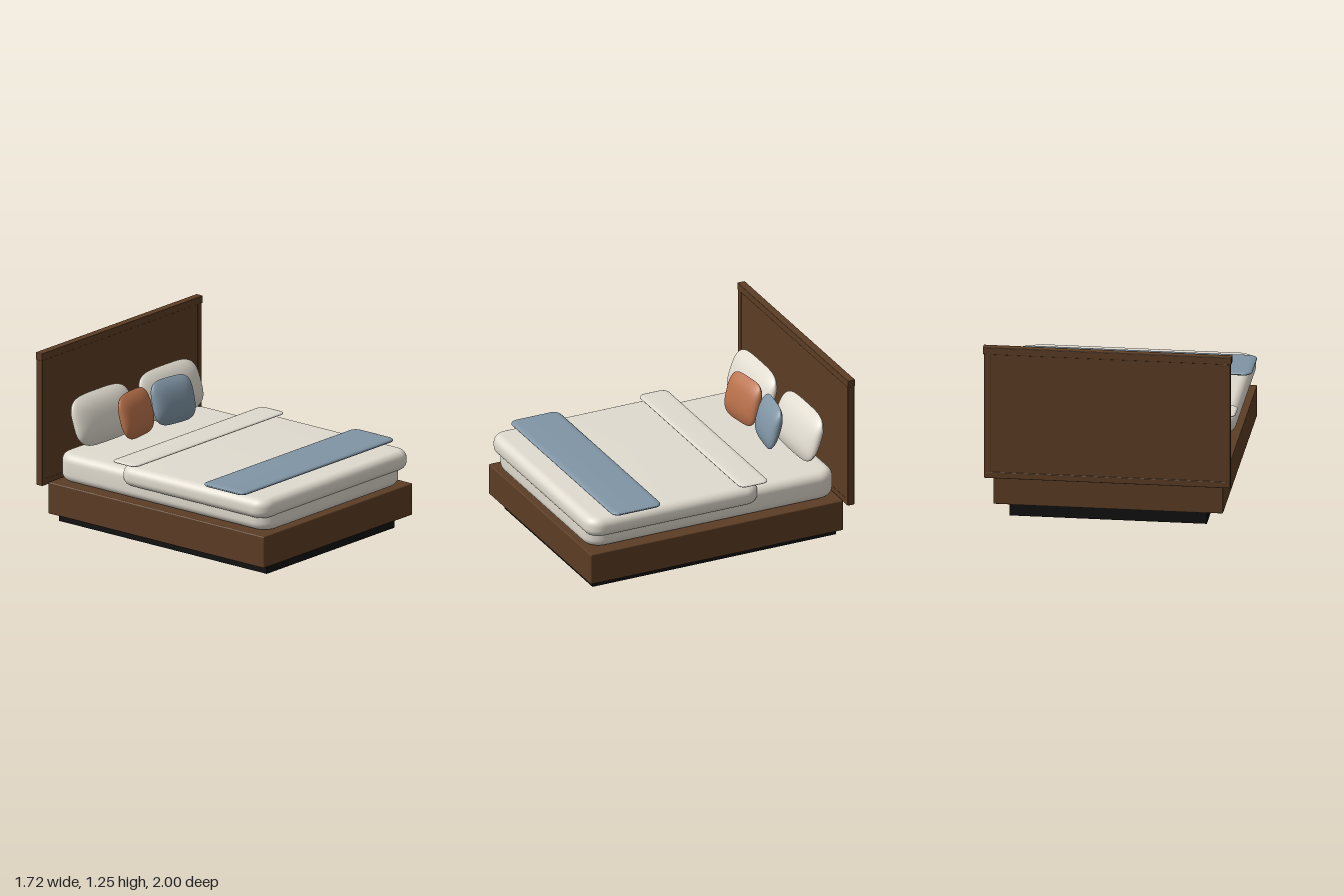
import * as THREE from 'three';
import { toCreasedNormals } from 'three/addons/utils/BufferGeometryUtils.js';
import { RoundedBoxGeometry } from 'three/addons/geometries/RoundedBoxGeometry.js';

const mat = (name, color) => {
  const m = new THREE.MeshStandardMaterial({ color });
  m.name = name;
  return m;
};

// Box given by its min and max corners, with slightly eased edges
function box(name, material, [x0, y0, z0], [x1, y1, z1], r = 0.004) {
  const mesh = new THREE.Mesh(new RoundedBoxGeometry(x1 - x0, y1 - y0, z1 - z0, 2, r), material);
  mesh.position.set((x0 + x1) / 2, (y0 + y1) / 2, (z0 + z1) / 2);
  mesh.name = name;
  return mesh;
}

// Horizontal padded slab: rounded plan corners, and edges rounded by bevelSize x bevelHeight
function slab(name, material, halfX, [y0, y1], [z0, z1], radius, bevelSize, bevelHeight) {
  const a = halfX, b = (z1 - z0) / 2, r = radius;
  const s = new THREE.Shape();
  s.moveTo(a, -b + r);
  s.absarc(a - r, b - r, r, 0, Math.PI / 2);
  s.absarc(-a + r, b - r, r, Math.PI / 2, Math.PI);
  s.absarc(-a + r, -b + r, r, Math.PI, Math.PI * 1.5);
  s.absarc(a - r, -b + r, r, Math.PI * 1.5, Math.PI * 2);
  const depth = y1 - y0 - 2 * bevelHeight;
  const geo = new THREE.ExtrudeGeometry(s, {
    depth, curveSegments: 10, bevelEnabled: true, bevelSegments: 8,
    bevelSize, bevelThickness: bevelHeight, bevelOffset: -bevelSize,
  });
  geo.translate(0, 0, -depth / 2);
  geo.rotateX(-Math.PI / 2);
  const mesh = new THREE.Mesh(toCreasedNormals(geo, 0.9), material);
  mesh.position.set(0, (y0 + y1) / 2, (z0 + z1) / 2);
  mesh.name = name;
  return mesh;
}

// Stuffed cushion: squircle outline, blunt at the sides, tapering to top and bottom seams
function cushion(name, material, w, h, t, [x, y, z], pitch, yaw) {
  const N = 28, pos = [], index = [];
  for (const side of [1, -1]) {
    const base = pos.length / 3;
    for (let j = 0; j <= N; j++) for (let i = 0; i <= N; i++) {
      const u = Math.sin((i / N - 0.5) * Math.PI), v = Math.sin((j / N - 0.5) * Math.PI);
      const norm = Math.pow(u ** 4 + v ** 4, 0.25);
      const f = norm > 1e-6 ? Math.max(Math.abs(u), Math.abs(v)) / norm : 1;
      const X = u * f, Y = v * f;
      const puff = Math.sqrt(Math.max(0, 1 - X ** 4 - Y ** 4) * Math.max(0, 1 - Y * Y));
      pos.push(X * w / 2, Y * h / 2, side * puff * t / 2);
      if (i < N && j < N) {
        const a = base + j * (N + 1) + i, b = a + 1, c = a + N + 1, d = c + 1;
        if (side > 0) index.push(a, b, d, a, d, c);
        else index.push(a, d, b, a, c, d);
      }
    }
  }
  const geo = new THREE.BufferGeometry();
  geo.setAttribute('position', new THREE.Float32BufferAttribute(pos, 3));
  geo.setIndex(index);
  geo.computeVertexNormals();
  const mesh = new THREE.Mesh(geo, material);
  mesh.rotation.set(pitch, yaw, 0, 'YXZ');
  mesh.position.set(x, y, z);
  mesh.name = name;
  return mesh;
}

export function createModel() {
  const wood = mat('walnut wood', 0x5c3d24);
  const black = mat('black plinth', 0x111111);
  const linen = mat('cream linen', 0xe0dbcf);
  const blue = mat('dusty blue fabric', 0x8095a5);
  const rust = mat('terracotta fabric', 0xb8704a);
  const bed = new THREE.Group();
  bed.name = 'bed';

  // Platform on a recessed plinth
  bed.add(box('plinth', black, [-0.685, 0, -0.94], [0.685, 0.085, 0.93], 0.002));
  bed.add(box('platform', wood, [-0.797, 0.08, -0.942], [0.797, 0.308, 0.997], 0.008));

  // Framed headboard
  const headboard = new THREE.Group();
  headboard.name = 'headboard';
  headboard.add(box('headboardPanel', wood, [-0.83, 0.31, -0.996], [0.83, 1.21, -0.949]));
  headboard.add(box('headboardCap', wood, [-0.862, 1.198, -1], [0.862, 1.25, -0.943]));
  headboard.add(box('headboardBottomRail', wood, [-0.85, 0.29, -0.999], [0.85, 0.336, -0.947]));
  for (const s of [-1, 1]) {
    const x = s * 0.832;
    headboard.add(box('headboardStile', wood, [x - 0.023, 0.29, -0.998], [x + 0.023, 1.2, -0.946]));
  }
  bed.add(headboard);

  // Bedding
  bed.add(slab('mattress', linen, 0.745, [0.312, 0.515], [-0.928, 0.98], 0.13, 0.06, 0.06));
  bed.add(slab('duvet', linen, 0.8, [0.415, 0.557], [-0.32, 0.998], 0.11, 0.06, 0.058));
  bed.add(slab('duvetFold', linen, 0.808, [0.568, 0.588], [-0.37, -0.15], 0.05, 0.045, 0.0095));
  bed.add(slab('throwBlanket', blue, 0.823, [0.567, 0.597], [0.455, 0.832], 0.06, 0.05, 0.0145));

  // Sleeping pillows and accent cushions leaning back
  for (const s of [-1, 1]) {
    bed.add(cushion('pillow', linen, 0.615, 0.365, 0.12, [s * 0.362, 0.715, -0.812], -0.33, 0));
    bed.add(cushion(s < 0 ? 'terracottaCushion' : 'blueCushion', s < 0 ? rust : blue,
      0.37, 0.325, 0.1, [s * 0.199 + 0.007, 0.715, -0.66], -0.27, -s * 0.14));
  }
  return bed;
}
